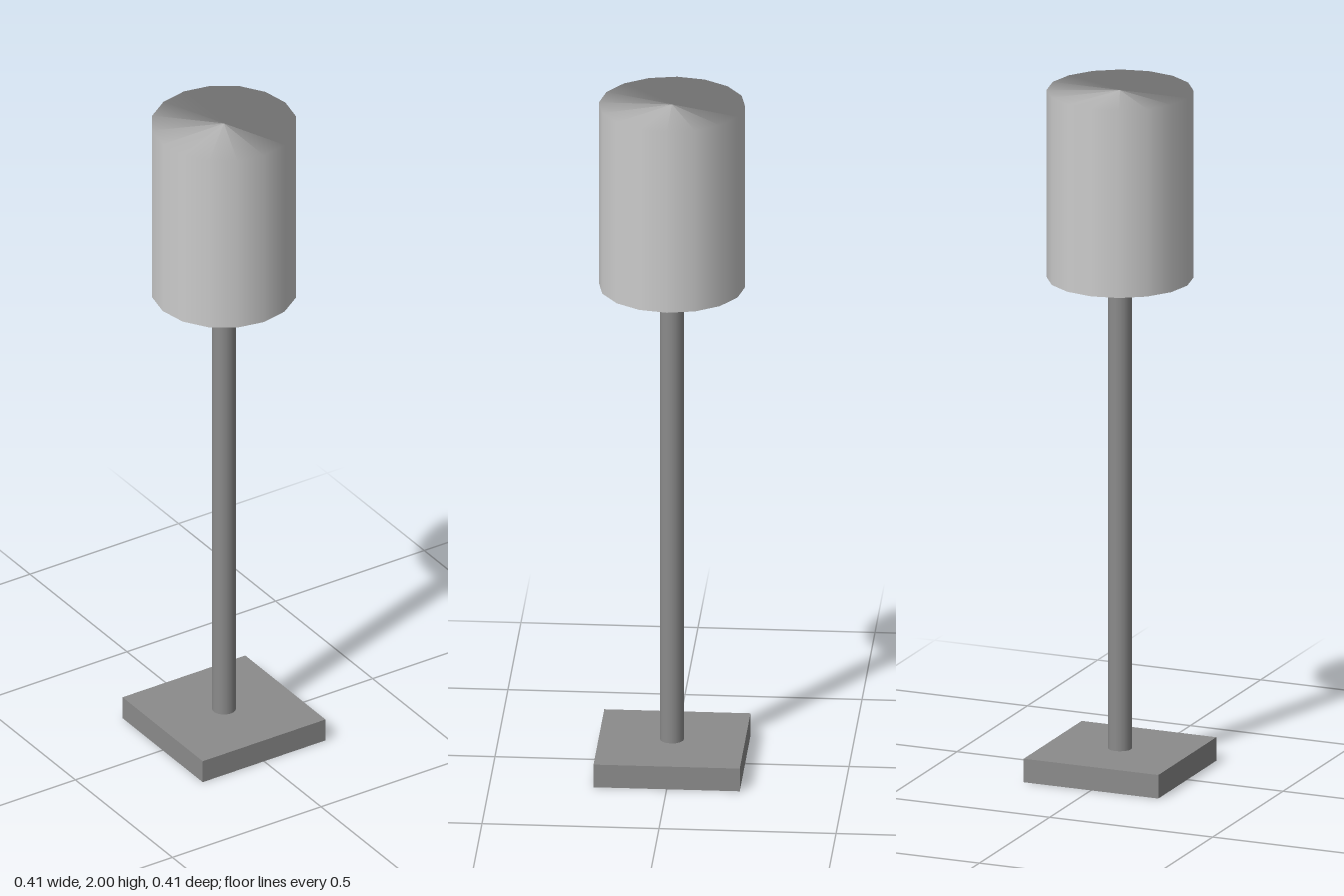
import * as THREE from 'three';

const BASE_WIDTH = 0.413, BASE_HEIGHT = 0.069;
const SHADE_RADIUS = 0.2065, SHADE_BOTTOM = 1.45, TOP = 2;
const POLE_RADIUS = 0.034, SIDES = 16;

// Closed drum whose flat ends share the smooth radial normals of its wall
function smoothDrum(radius, bottom, top) {
  const core = 0.0002;
  const profile = [[core, bottom], [radius, bottom], [radius, top], [core, top]];
  const geometry = new THREE.LatheGeometry(profile.map(([x, y]) => new THREE.Vector2(x, y)), SIDES);
  const { position, normal } = geometry.attributes;
  const direction = new THREE.Vector3();
  for (let i = 0; i < position.count; i++) {
    direction.set(position.getX(i), 0, position.getZ(i)).normalize();
    normal.setXYZ(i, direction.x, direction.y, direction.z);
  }
  return geometry;
}

export function createModel() {
  const lamp = new THREE.Group();
  lamp.name = 'floorLamp';
  const standMaterial = new THREE.MeshStandardMaterial({ color: 0x8b8b8b });
  const shadeMaterial = new THREE.MeshStandardMaterial({ color: 0xcccccc });

  const add = (name, geometry, material) => {
    const mesh = new THREE.Mesh(geometry, material);
    mesh.name = name;
    lamp.add(mesh);
  };

  // Square foot plate
  const foot = new THREE.BoxGeometry(BASE_WIDTH, BASE_HEIGHT, BASE_WIDTH);
  add('base', foot.translate(0, BASE_HEIGHT / 2, 0), standMaterial);

  // Slim upright from the foot to the shade
  add('pole', smoothDrum(POLE_RADIUS, BASE_HEIGHT, SHADE_BOTTOM), standMaterial);

  // Closed drum shade
  add('shade', smoothDrum(SHADE_RADIUS, SHADE_BOTTOM, TOP), shadeMaterial);

  return lamp;
}
